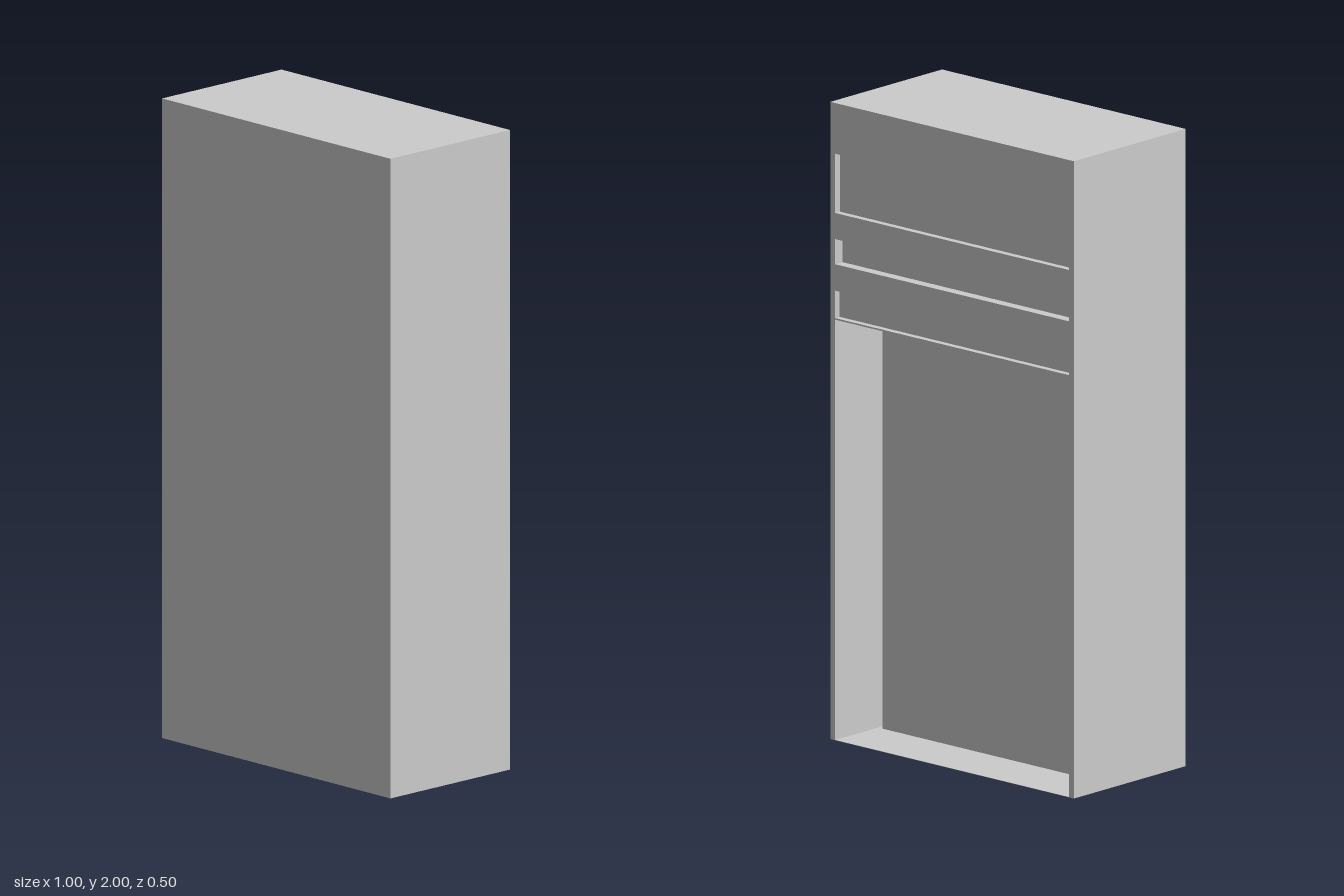
import * as THREE from 'three';

const material = new THREE.MeshStandardMaterial({ color: 0xcccccc, flatShading: true });

const HALF_W = 0.5, HEIGHT = 2, BACK = -0.25, FRONT = 0.25;
const BOARD = 0.02;
const INNER = HALF_W - BOARD;

// Box given by its extents, centred on x = 0
function box(name, halfWidth, y0, y1, z0, z1) {
  const mesh = new THREE.Mesh(new THREE.BoxGeometry(halfWidth * 2, y1 - y0, z1 - z0), material);
  mesh.position.set(0, (y0 + y1) / 2, (z0 + z1) / 2);
  mesh.name = name;
  return mesh;
}

function rectangle(PathType, halfWidth, y0, y1) {
  const p = new PathType();
  p.moveTo(-halfWidth, y0);
  p.lineTo(halfWidth, y0);
  p.lineTo(halfWidth, y1);
  p.lineTo(-halfWidth, y1);
  p.closePath();
  return p;
}

export function createModel() {
  const model = new THREE.Group();
  model.name = 'cabinet';

  // Shallow recesses in the upper back, and the tall open bay below them
  const recesses = [
    { name: 'upperRecessPanel', y0: 1.655, y1: 1.841, depth: 0.021 },
    { name: 'middleRecessPanel', y0: 1.494, y1: 1.573, depth: 0.033 },
    { name: 'lowerRecessPanel', y0: 1.325, y1: 1.411, depth: 0.02 },
  ];
  const bay = { y0: 0.001, y1: 1.32 };

  // Carcass: walls, floor, roof and cross rails in one piece
  const outline = rectangle(THREE.Shape, HALF_W, 0, HEIGHT);
  for (const { y0, y1 } of [...recesses, bay]) {
    outline.holes.push(rectangle(THREE.Path, INNER, y0, y1));
  }
  const carcass = new THREE.Mesh(
    new THREE.ExtrudeGeometry(outline, { depth: FRONT - BOARD - BACK, bevelEnabled: false }),
    material
  );
  carcass.position.z = BACK;
  carcass.name = 'carcass';
  model.add(carcass);

  // Plain front board
  model.add(box('frontBoard', HALF_W, 0, HEIGHT, FRONT - BOARD, FRONT));

  // Panels set into the recesses
  for (const { name, y0, y1, depth } of recesses) {
    model.add(box(name, INNER, y0, y1, BACK + depth, FRONT - BOARD));
  }

  // Block held inside the bay, clear of the walls, floor and ceiling
  model.add(box('bayBlock', 0.4, 0.026, 1.277, -0.125, FRONT - BOARD));

  return model;
}
